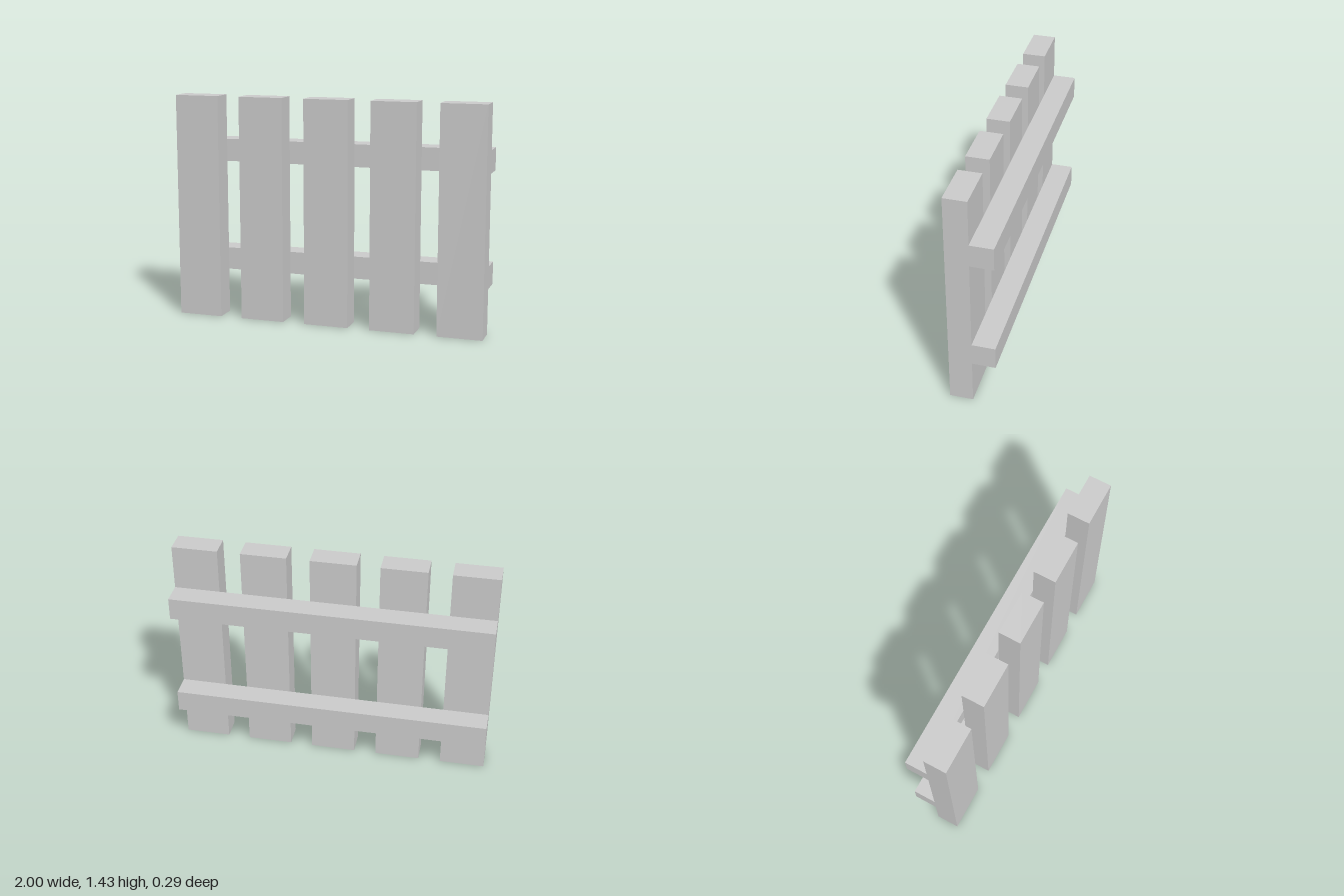
import * as THREE from 'three';

const U = 1 / 7; // board thickness; every dimension is a multiple of it

export function createModel() {
  const fence = new THREE.Group();
  fence.name = 'fence';
  const material = new THREE.MeshStandardMaterial({ color: 0xcccccc });

  const addBoard = (name, geometry, x, y, z) => {
    const board = new THREE.Mesh(geometry, material);
    board.name = name;
    board.position.set(x * U, y * U, z * U);
    fence.add(board);
  };

  // Five upright pickets along the front
  const picketGeometry = new THREE.BoxGeometry(2 * U, 10 * U, U);
  for (let i = 0; i < 5; i++) {
    addBoard(`picket${i + 1}`, picketGeometry, (i - 2) * 3, 5, 0.5);
  }

  // Two full-width rails across the back
  const railGeometry = new THREE.BoxGeometry(14 * U, U, U);
  addBoard('lowerRail', railGeometry, 0, 2.5, -0.5);
  addBoard('upperRail', railGeometry, 0, 7.5, -0.5);

  return fence;
}
